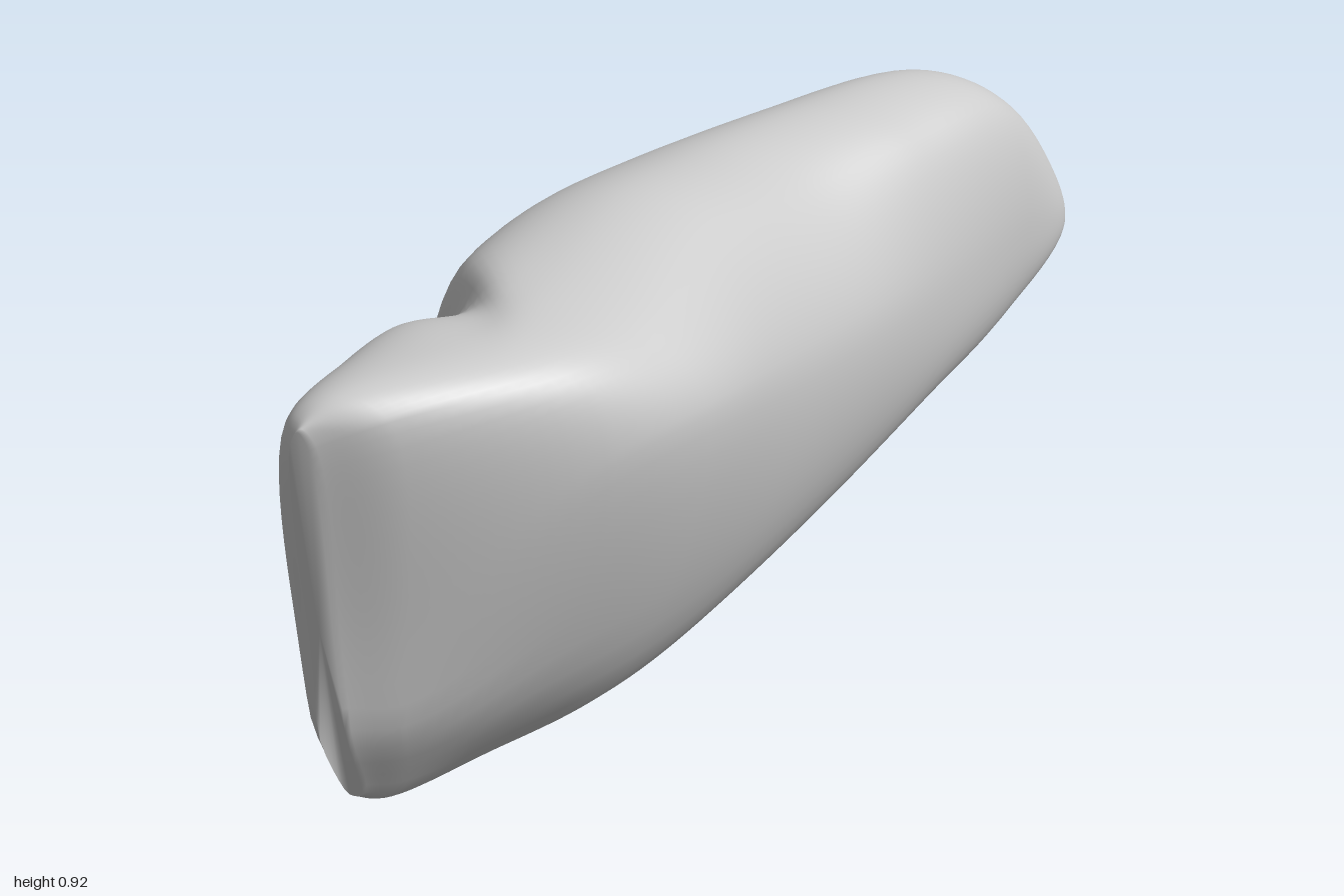
import * as THREE from 'three';

// Cross-sections from front to back:
// z, then x,y of lower left, mid left, upper left; crest y; x,y of upper right, mid right, lower right
const SECTIONS = [
  [1.0, -.385, .04, -.385, .40, -.375, .73, .76, -.345, .73, -.345, .40, -.365, .04],
  [.95, -.39, .01, -.43, .38, -.395, .76, .805, -.23, .77, -.24, .40, -.32, .02],
  [.75, -.385, .02, -.472, .38, -.385, .77, .83, -.02, .79, .035, .62, -.20, .04],
  [.55, -.385, .05, -.475, .38, -.345, .79, .845, .06, .79, .145, .65, -.08, .08],
  [.20, -.38, .10, -.455, .43, -.32, .80, .895, .08, .84, .21, .60, .05, .14],
  [-.05, -.36, .12, -.41, .45, -.25, .80, .89, .155, .83, .285, .60, .17, .23],
  [-.30, -.20, .22, -.27, .50, -.12, .80, .905, .28, .85, .365, .60, .30, .35],
  [-.55, -.07, .30, -.13, .50, .04, .80, .90, .38, .845, .44, .62, .385, .42],
  [-.75, .06, .38, .015, .50, .12, .70, .80, .395, .73, .472, .59, .455, .53],
  [-.90, .15, .46, .13, .53, .18, .62, .67, .29, .64, .345, .57, .34, .54],
];
const RINGS = 90, SIDES = 72;

// The seven control points of one section, clockwise seen from the front
function controlPoints([z, ...v]) {
  const crest = [(v[4] + v[7]) / 2, v[6]];
  const pairs = [[v[0], v[1]], [v[2], v[3]], [v[4], v[5]], crest, [v[7], v[8]], [v[9], v[10]], [v[11], v[12]]];
  return pairs.map(([x, y]) => new THREE.Vector3(x, y, z));
}

// Lean the front face back and press a groove into the upper left side
function sculpt(p) {
  const { smoothstep } = THREE.MathUtils;
  const groove = Math.exp(-(((p.z - .47 - .9 * (p.x + .38)) / .09) ** 2))
    * smoothstep(p.y, .3, .75) * (1 - smoothstep(p.x, -.36, -.1));
  p.x += .055 * groove;
  p.y -= .03 * groove;
  const lean = .17 * Math.max(0, .77 - p.y) + .07 * (1 - smoothstep(p.y, 0, .22));
  p.z -= lean * smoothstep(p.z, .2, .95);
  return p;
}

function boulderGeometry() {
  const rows = SECTIONS.map(controlPoints);
  const rails = rows[0].map((_, k) => new THREE.CatmullRomCurve3(rows.map((r) => r[k])));
  const positions = [], index = [];

  // Loft rounded loops along the rails
  for (let i = 0; i <= RINGS; i++) {
    const loop = new THREE.CatmullRomCurve3(rails.map((c) => c.getPoint(i / RINGS)), true);
    for (let j = 0; j < SIDES; j++) positions.push(...sculpt(loop.getPoint(j / SIDES)).toArray());
  }

  // Close the narrow front ridge and the pointed back
  const front = positions.length / 3, back = front + 1;
  positions.push(-.365, .4, .942, .225, .555, -1);
  for (let j = 0; j < SIDES; j++) {
    const k = (j + 1) % SIDES, last = RINGS * SIDES;
    for (let i = 0; i < RINGS; i++) {
      const a = i * SIDES + j, b = i * SIDES + k;
      index.push(a, b, a + SIDES, b, b + SIDES, a + SIDES);
    }
    index.push(front, k, j, back, last + j, last + k);
  }

  const geometry = new THREE.BufferGeometry();
  geometry.setAttribute('position', new THREE.Float32BufferAttribute(positions, 3));
  geometry.setIndex(index);
  geometry.computeVertexNormals();

  // Stand it on the ground
  geometry.computeBoundingBox();
  geometry.translate(0, -geometry.boundingBox.min.y, 0);
  return geometry;
}

export function createModel() {
  const group = new THREE.Group();
  group.name = 'rock';
  const boulder = new THREE.Mesh(boulderGeometry(), new THREE.MeshStandardMaterial({ color: 0xcccccc }));
  boulder.name = 'boulder';
  group.add(boulder);
  return group;
}
